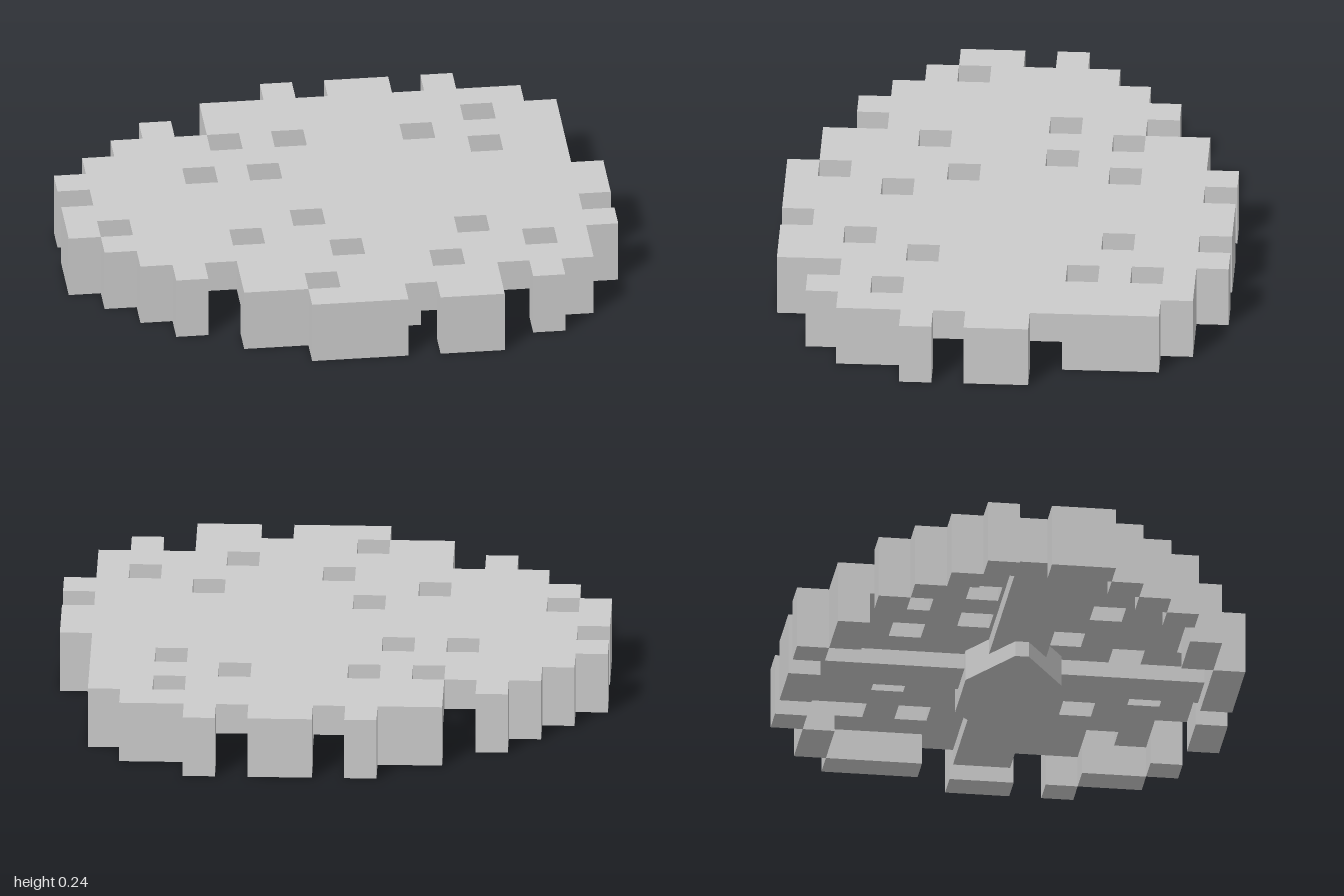
import * as THREE from 'three';

const C = 2 / 17;          // cell size
const TOP = 2 * C;         // overall height
const DECK = C;            // underside of the deck plate
const ARM = C / 2;         // underside of the ribs

// R = full-height rim cell, # = deck cell, . = open
const PLAN = [
  '.......R.RR.R....',
  '.....RR######RR..',
  '...R.########.#R.',
  '..R##.#.###.###R.',
  '.R###########.#R.',
  'R###.#.#########.',
  '.###############R',
  'R###############R',
  'R.#####.########.',
  '.R###.######.###R',
  '..R#####.#####.R.',
  '...R.######.###R.',
  '.....RR.#####.R..',
  '.......RRR.RR....',
];

const underside = (i, j) => {
  const c = PLAN[j]?.[i];
  return c === 'R' ? 0 : c === '#' ? DECK : TOP;
};

// Exposed faces of every cell of one kind
function cellGeometry(kind) {
  const pos = [];
  const quad = (a, b, c, d) => pos.push(...a, ...b, ...c, ...a, ...c, ...d);
  PLAN.forEach((row, j) => [...row].forEach((ch, i) => {
    if (ch !== kind) return;
    const x0 = -1 + i * C, x1 = x0 + C;
    const z0 = (j - PLAN.length / 2) * C, z1 = z0 + C;
    const b = underside(i, j);
    quad([x0, TOP, z0], [x0, TOP, z1], [x1, TOP, z1], [x1, TOP, z0]);
    quad([x0, b, z0], [x1, b, z0], [x1, b, z1], [x0, b, z1]);
    // side walls: from this underside up to the neighbour's
    const sides = [
      [1, 0, x1, z1, x1, z0], [-1, 0, x0, z0, x0, z1],
      [0, 1, x0, z1, x1, z1], [0, -1, x1, z0, x0, z0],
    ];
    for (const [di, dj, ax, az, bx, bz] of sides) {
      const t = underside(i + di, j + dj);
      if (t > b) quad([ax, b, az], [bx, b, bz], [bx, t, bz], [ax, t, az]);
    }
  }));
  const g = new THREE.BufferGeometry();
  g.setAttribute('position', new THREE.Float32BufferAttribute(pos, 3));
  g.computeVertexNormals();
  return g;
}

export function createModel() {
  const group = new THREE.Group();
  group.name = 'steppedDisc';
  const material = new THREE.MeshStandardMaterial({ color: 0xcccccc, flatShading: true });
  const add = (name, geometry) => {
    const mesh = new THREE.Mesh(geometry, material);
    mesh.name = name;
    group.add(mesh);
    return mesh;
  };

  add('deckPlate', cellGeometry('#'));
  add('rim', cellGeometry('R'));

  // Crossing ribs under the deck
  const ribHeight = DECK - ARM;
  add('longRib', new THREE.BoxGeometry(15 * C, ribHeight, 0.21))
    .position.set(0, ARM + ribHeight / 2, 0);
  add('crossRib', new THREE.BoxGeometry(1.5 * C, ribHeight, 12 * C))
    .position.set(1.25 * C, ARM + ribHeight / 2, 0);

  // Eight-sided hub where the ribs meet
  const half = [[0.44, 0.06], [0.31, 0.176], [0.03, 0.176], [-0.2, 0.025]];
  const outline = [...half, ...half.map(([x, z]) => [x, -z]).reverse()];
  const shape = new THREE.Shape(outline.map(([x, z]) => new THREE.Vector2(x, z)));
  const hub = new THREE.ExtrudeGeometry(shape, { depth: DECK, bevelEnabled: false });
  hub.rotateX(-Math.PI / 2);
  add('hub', hub);

  return group;
}
